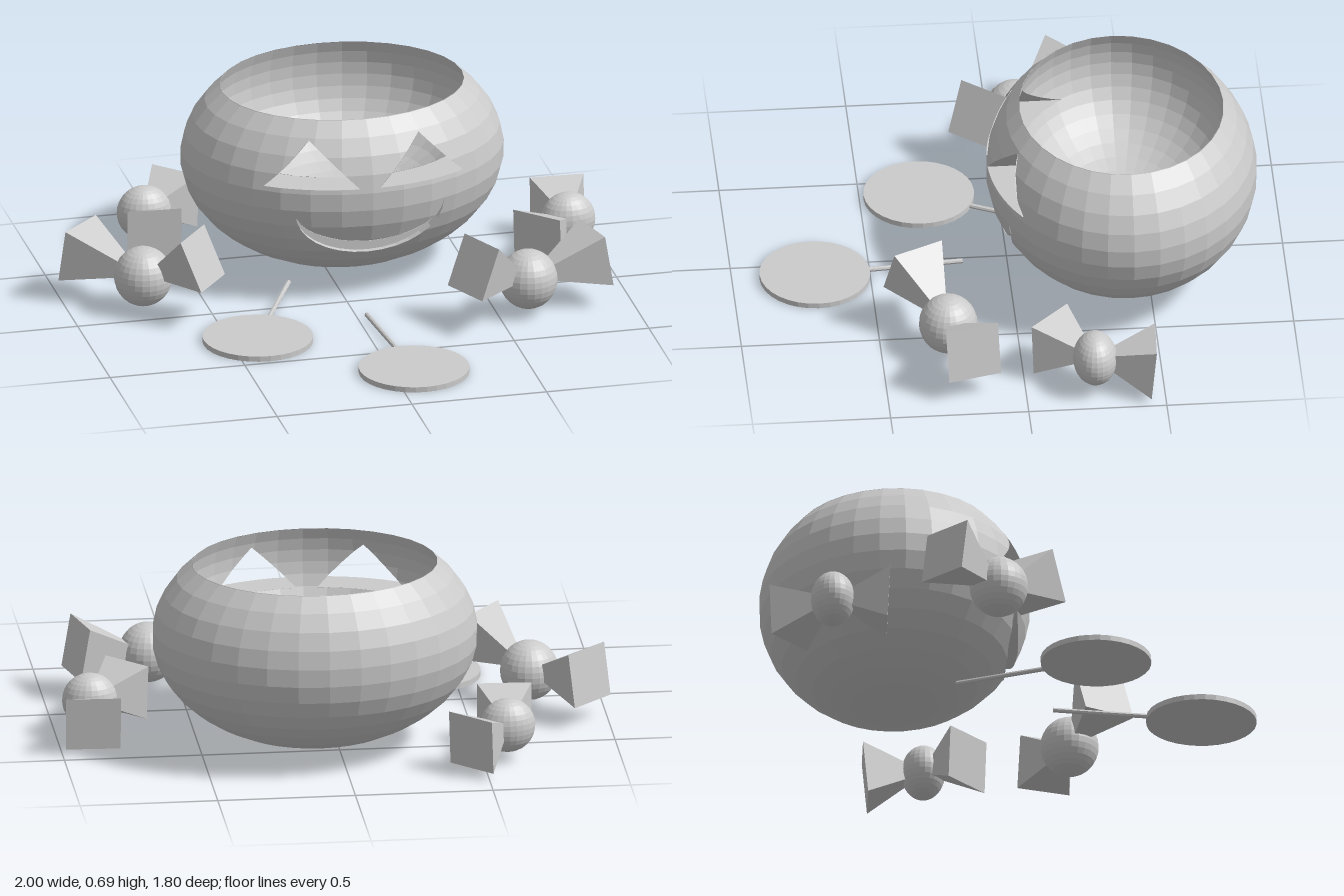
import * as THREE from 'three';

const grey = new THREE.MeshStandardMaterial({ color: 0xcccccc, flatShading: true });
const greyDouble = new THREE.MeshStandardMaterial({ color: 0xcccccc, flatShading: true, side: THREE.DoubleSide });

// Bowl skins: squashed spheres sharing a centre line; the cavity is smaller and higher
const CX = 0.08, CZ = -0.41, RIM = 0.69;
const outer = { y: 0.42, rx: 0.59, ry: 0.41, rz: 0.49 };
const inner = { y: 0.58, rx: 0.472, ry: 0.33, rz: 0.392 };
const MOUTH_FLOOR = -0.03;

// Front z of a skin at (x, y)
const skinZ = (s, x, y) =>
  CZ + s.rz * Math.sqrt(Math.max(0, 1 - ((x - CX) / s.rx) ** 2 - ((y - s.y) / s.ry) ** 2));

function add(parent, name, geometry, material = grey) {
  const mesh = new THREE.Mesh(geometry, material);
  mesh.name = name;
  parent.add(mesh);
  return mesh;
}

function fromPositions(positions) {
  const g = new THREE.BufferGeometry();
  g.setAttribute('position', new THREE.Float32BufferAttribute(positions, 3));
  g.computeVertexNormals();
  return g;
}

// Part of a polygon on one side (sign) of the line a-b in the xy plane
function clip(poly, a, b, sign) {
  const side = p => sign * ((b.x - a.x) * (p.y - a.y) - (b.y - a.y) * (p.x - a.x));
  const out = [];
  poly.forEach((p, i) => {
    const q = poly[(i + 1) % poly.length], dp = side(p), dq = side(q);
    if (dp >= 0) out.push(p);
    if (dp * dq < 0) out.push(p.clone().lerp(q, dp / (dp - dq)));
  });
  return out;
}

// Cut one convex counter-clockwise hole out of a list of polygons
function cutHole(polys, hole) {
  const kept = [];
  for (const poly of polys) {
    let rest = poly;
    const pieces = [];
    hole.forEach((a, i) => {
      const b = hole[(i + 1) % hole.length];
      if (a.distanceTo(b) < 1e-6 || rest.length < 3) return;
      const outside = clip(rest, a, b, -1);
      if (outside.length > 2) pieces.push(outside);
      rest = clip(rest, a, b, 1);
    });
    if (rest.length > 2) kept.push(...pieces);
    else kept.push(poly);
  }
  return kept;
}

// Open squashed sphere with holes cut through its front half
function skinGeometry(s, holes, flip) {
  const start = Math.acos((RIM - s.y) / s.ry);
  const g = new THREE.SphereGeometry(1, 32, 14, 0, Math.PI * 2, start, Math.PI - start)
    .scale(s.rx, s.ry, s.rz).translate(CX, s.y, CZ).toNonIndexed();
  const pos = g.attributes.position, out = [];
  for (let i = 0; i < pos.count; i += 3) {
    const tri = [0, 1, 2].map(k => new THREE.Vector3().fromBufferAttribute(pos, i + k));
    let polys = [tri];
    if (tri.every(p => p.z > CZ - 0.001)) for (const h of holes) polys = cutHole(polys, h);
    for (const p of polys) {
      for (let k = 1; k < p.length - 1; k++) {
        const t = flip ? [p[0], p[k + 1], p[k]] : [p[0], p[k], p[k + 1]];
        t.forEach(v => out.push(v.x, v.y, v.z));
      }
    }
  }
  return fromPositions(out);
}

// Side walls of a carved opening, from the outer skin back to backZ(x, y)
function wallGeometry(outline, backZ, steps) {
  const out = [];
  outline.forEach((a, i) => {
    const b = outline[(i + 1) % outline.length];
    for (let k = 0; k < steps; k++) {
      const p = a.clone().lerp(b, k / steps), q = a.clone().lerp(b, (k + 1) / steps);
      const pf = [p.x, p.y, skinZ(outer, p.x, p.y)], qf = [q.x, q.y, skinZ(outer, q.x, q.y)];
      const pb = [p.x, p.y, backZ(p.x, p.y)], qb = [q.x, q.y, backZ(q.x, q.y)];
      out.push(...pf, ...pb, ...qf, ...qf, ...pb, ...qb);
    }
  });
  return fromPositions(out);
}

function makeBowl() {
  const bowl = new THREE.Group();
  bowl.name = 'pumpkinBowl';
  const V = (x, y) => new THREE.Vector2(x, y);

  // Triangular eyes
  const eyes = [-0.135, 0.27].map(x => [V(x - 0.165, 0.465), V(x + 0.165, 0.465), V(x, 0.63)]);

  // Crescent mouth, as lower and upper arcs running left to right
  const n = 16, lower = [], upper = [];
  for (let i = 0; i <= n; i++) {
    const a = Math.PI * (1 - i / n), x = CX + 0.275 * Math.cos(a);
    lower.push(V(x, 0.37 - 0.185 * Math.sin(a)));
    upper.push(V(x, 0.37 - 0.125 * Math.sin(a)));
  }
  const mouthCells = [];
  for (let i = 0; i < n; i++) mouthCells.push([lower[i], lower[i + 1], upper[i + 1], upper[i]]);
  const mouth = [...lower, ...upper.slice(1, -1).reverse()];

  add(bowl, 'outerShell', skinGeometry(outer, [...eyes, ...mouthCells], false), greyDouble);
  add(bowl, 'innerShell', skinGeometry(inner, eyes, true), greyDouble);
  for (const eye of eyes) {
    add(bowl, 'eyeWalls', wallGeometry(eye, (x, y) => skinZ(inner, x, y), 8), greyDouble);
  }
  add(bowl, 'mouthWalls', wallGeometry(mouth, () => MOUTH_FLOOR, 1), greyDouble);
  add(bowl, 'mouthFloor', new THREE.ShapeGeometry(new THREE.Shape(mouth)).translate(0, 0, MOUTH_FLOOR), greyDouble);

  // Thin rim joining both skins
  const ring = s => Math.sqrt(1 - ((RIM - s.y) / s.ry) ** 2);
  const r = [ring(outer) * outer.rx, ring(inner) * inner.rx].sort((a, b) => a - b);
  add(bowl, 'rim', new THREE.RingGeometry(r[0], r[1], 32).rotateX(-Math.PI / 2)
    .scale(1, 1, outer.rz / outer.rx).translate(CX, RIM, CZ), greyDouble);
  return bowl;
}

// Wrapped sweet: ball plus two flared square wrapper ends aimed at their outer faces
function makeCandy({ ball, size, gap, ends }) {
  const candy = new THREE.Group();
  candy.name = 'wrappedCandy';
  const centre = new THREE.Vector3(...ball);
  add(candy, 'candyBall', new THREE.SphereGeometry(1, 24, 16).scale(...size)).position.copy(centre);
  for (const end of ends) {
    const face = new THREE.Vector3(...end);
    const length = face.distanceTo(centre) - gap;
    const wrapper = add(candy, 'wrapperEnd', new THREE.CylinderGeometry(0.14, 0.045, length, 4)
      .rotateY(Math.PI / 4).rotateX(Math.PI / 2).translate(0, 0, gap + length / 2));
    wrapper.position.copy(centre);
    wrapper.lookAt(face);
  }
  return candy;
}

// Flat lollipop: disc and thin stick lying on the ground
function makeLollipop(x, z, dx, dz) {
  const pop = new THREE.Group();
  pop.name = 'lollipop';
  add(pop, 'lollipopDisc', new THREE.CylinderGeometry(0.2, 0.2, 0.02, 32)).position.set(x, 0.01, z);
  const stick = add(pop, 'lollipopStick', new THREE.CylinderGeometry(0.009, 0.009, 0.36, 8)
    .rotateX(Math.PI / 2).translate(0, 0, 0.36));
  stick.position.set(x, 0.011, z);
  stick.lookAt(x + dx, 0.011, z + dz);
  return pop;
}

export function createModel() {
  const model = new THREE.Group();
  model.name = 'pumpkinCandyBowl';
  model.add(makeBowl());

  const round = [0.106, 0.11, 0.106], squat = [0.1, 0.1, 0.08];
  const candies = [
    { ball: [-0.735, 0.135, -0.09], size: round, gap: 0.09, ends: [[-0.93, 0.18, -0.3], [-0.55, 0.245, 0.06]] },
    { ball: [0.61, 0.135, 0.26], size: round, gap: 0.09, ends: [[0.88, 0.185, 0.19], [0.38, 0.245, 0.37]] },
    { ball: [-0.59, 0.135, -0.68], size: squat, gap: 0.06, ends: [[-0.44, 0.125, -0.83], [-0.6, 0.125, -0.48]] },
    { ball: [0.88, 0.14, -0.25], size: squat, gap: 0.06, ends: [[0.89, 0.12, -0.46], [0.73, 0.13, -0.1]] },
  ];
  candies.forEach(c => model.add(makeCandy(c)));

  model.add(makeLollipop(0.08, 0.7, -0.045, -0.535));
  model.add(makeLollipop(-0.4, 0.285, 0.14, -0.295));
  return model;
}
